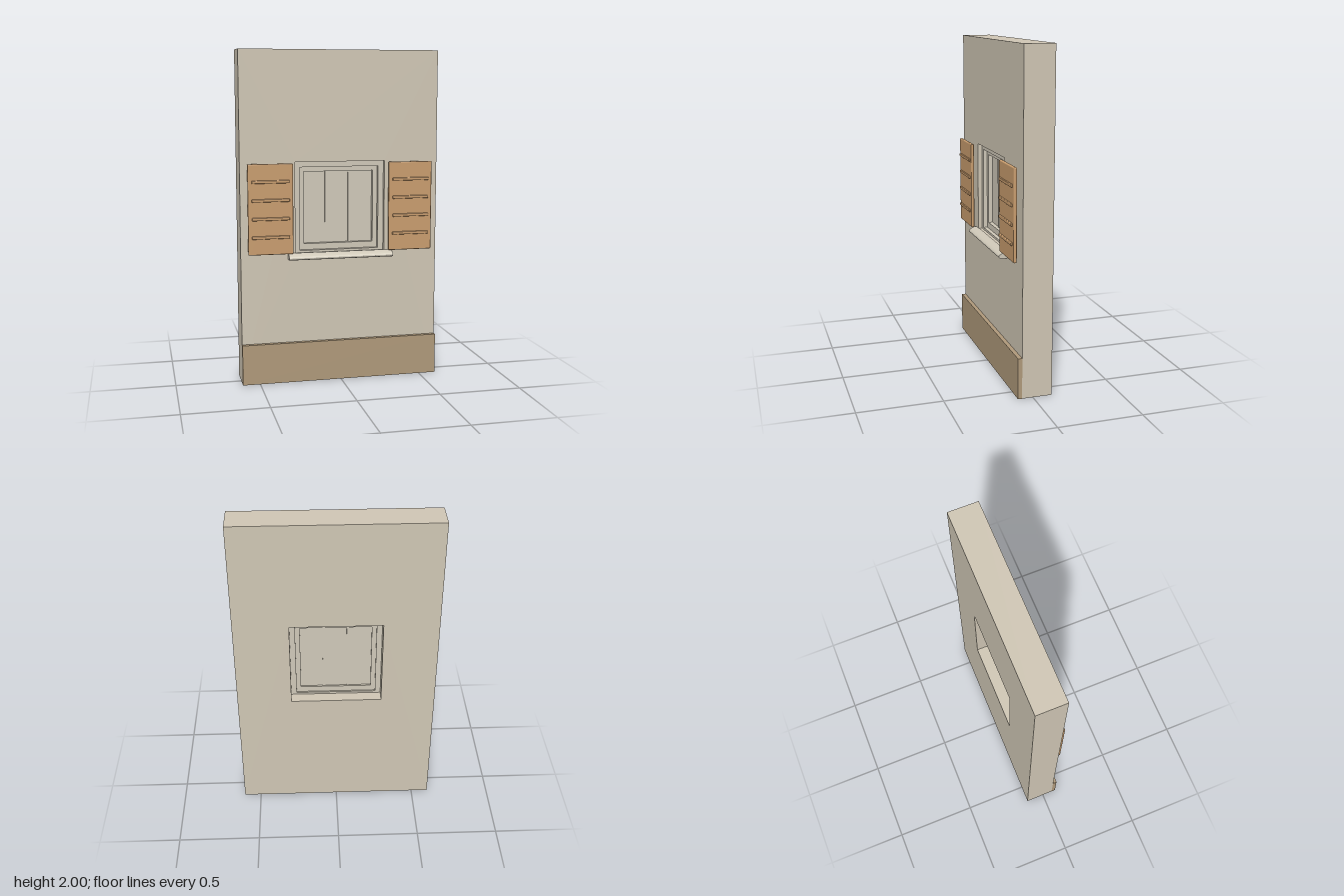
import * as THREE from 'three';
import { RoundedBoxGeometry } from 'three/addons/geometries/RoundedBoxGeometry.js';

const mat = (name, color) => new THREE.MeshStandardMaterial({ name, color });

// Rectangle outline from its edges
const trace = (path, x0, x1, y0, y1) => {
  path.moveTo(x0, y0);
  path.lineTo(x1, y0);
  path.lineTo(x1, y1);
  path.lineTo(x0, y1);
  path.closePath();
  return path;
};

export function createModel() {
  const plaster = mat('plaster', 0xd0c7b5);
  const trim = mat('trim', 0xd0c9b9);
  const wood = mat('shutter wood', 0xc99d6e);
  const plinthPaint = mat('plinth paint', 0xb09a7b);
  const group = new THREE.Group();
  group.name = 'wallWithWindow';

  const add = (name, geometry, material, parent = group) => {
    const mesh = new THREE.Mesh(geometry, material);
    mesh.name = name;
    parent.add(mesh);
    return mesh;
  };

  // Slab with a rectangular hole; outer and inner are [x0, x1, y0, y1]
  const ring = (name, outer, inner, z0, z1, material) => {
    const shape = trace(new THREE.Shape(), ...outer);
    shape.holes.push(trace(new THREE.Path(), ...inner));
    const geometry = new THREE.ExtrudeGeometry(shape, { depth: z1 - z0, bevelEnabled: false });
    return add(name, geometry.translate(0, 0, z0), material);
  };

  const box = (name, x0, x1, y0, y1, z0, z1, material) => {
    const geometry = new THREE.BoxGeometry(x1 - x0, y1 - y0, z1 - z0);
    return add(name, geometry.translate((x0 + x1) / 2, (y0 + y1) / 2, (z0 + z1) / 2), material);
  };

  // Wall with its opening, and the plinth along the foot
  const opening = [-0.275, 0.275, 0.79, 1.34];
  ring('wall', [-0.605, 0.605, 0, 2], opening, -0.115, 0.065, plaster);
  box('plinth', -0.605, 0.605, 0, 0.245, 0.065, 0.09, plinthPaint);

  // Stepped window frame, sash and panes
  const frameInner = [-0.242, 0.242, 0.803, 1.307];
  const sashInner = [-0.214, 0.214, 0.84, 1.278];
  ring('windowFrame', opening, frameInner, -0.045, 0.04, trim);
  ring('windowSash', frameInner, sashInner, -0.035, 0.015, trim);
  box('windowPane', -0.214, 0.214, 0.84, 1.278, -0.024, -0.012, trim);
  for (const x of [-0.072, 0.072]) {
    box('glazingBar', x - 0.007, x + 0.007, 0.84, 1.278, -0.03, -0.004, trim);
  }

  // Sill with a rounded nose, its profile drawn as (z, y)
  const profile = new THREE.Shape();
  profile.moveTo(0.06, 0.755);
  profile.lineTo(0.095, 0.755);
  profile.quadraticCurveTo(0.115, 0.756, 0.115, 0.769);
  profile.quadraticCurveTo(0.112, 0.782, 0.075, 0.793);
  profile.lineTo(0.06, 0.793);
  profile.closePath();
  const sill = new THREE.ExtrudeGeometry(profile, { depth: 0.64, bevelEnabled: false, curveSegments: 8 });
  sill.rotateY(-Math.PI / 2).translate(0.32, 0, 0);
  add('sill', sill, trim);

  // Open shutters with four battens each
  for (const side of [-1, 1]) {
    const shutter = new THREE.Group();
    shutter.name = side > 0 ? 'leftShutter' : 'rightShutter';
    shutter.position.set(side * 0.428, 1.065, 0.095);
    group.add(shutter);
    add('shutterPanel', new RoundedBoxGeometry(0.27, 0.54, 0.02, 3, 0.006), wood, shutter);
    for (let i = 0; i < 4; i++) {
      const batten = add('shutterBatten', new RoundedBoxGeometry(0.225, 0.018, 0.018, 2, 0.004), wood, shutter);
      batten.position.set(0, -0.165 + i * 0.11, 0.011);
    }
  }
  return group;
}
